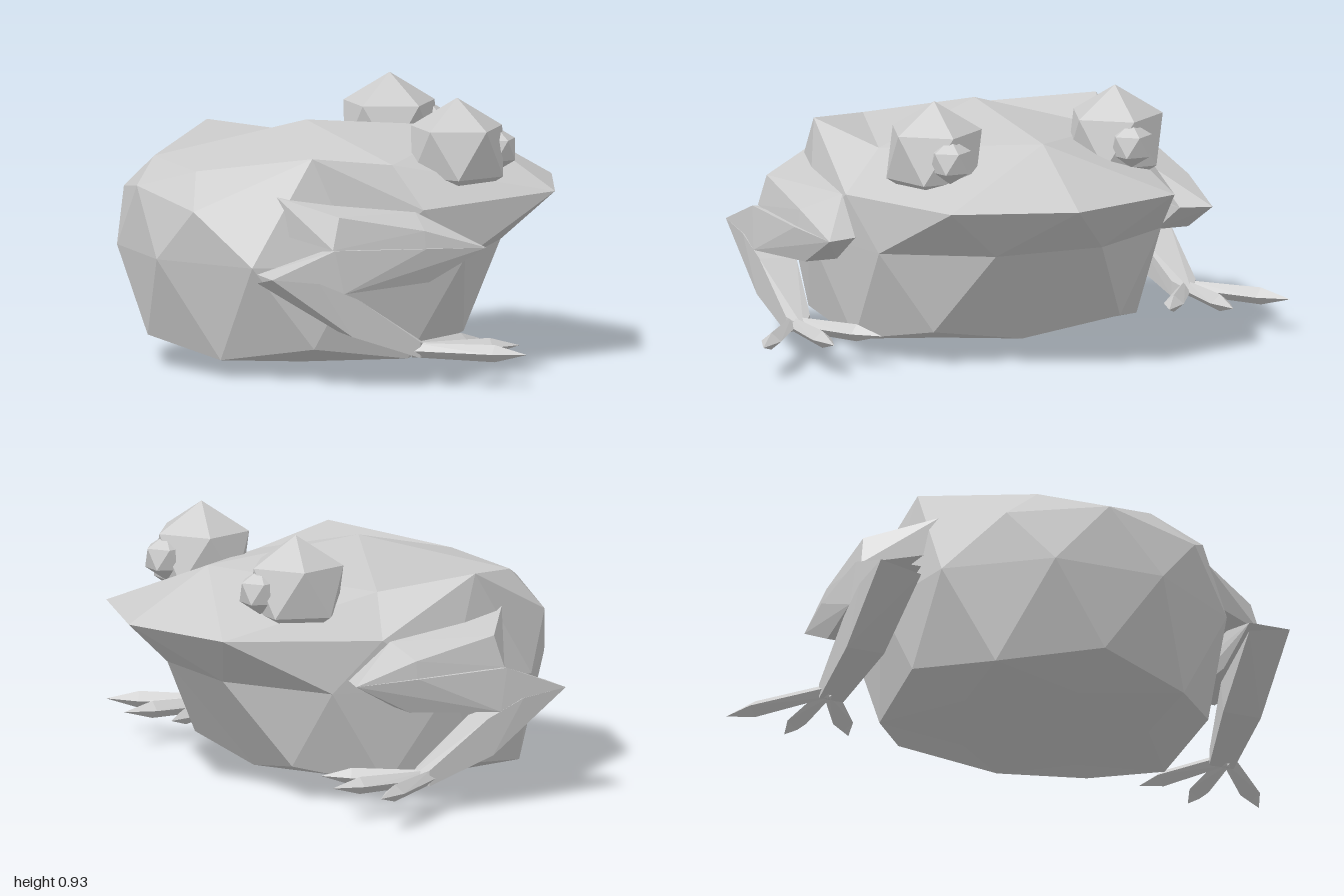
import * as THREE from 'three';
import { ConvexGeometry } from 'three/addons/geometries/ConvexGeometry.js';

const V = (p) => new THREE.Vector3(...p);
const skin = new THREE.MeshStandardMaterial({ color: 0xcccccc, flatShading: true });

function add(parent, name, geometry) {
  const mesh = new THREE.Mesh(geometry, skin);
  mesh.name = name;
  parent.add(mesh);
  return mesh;
}

// Complete a ring of points from its z >= 0 half, running from +x round to -x
function mirrorRing(half) {
  const other = half.filter((p) => p[2] > 0).reverse().map(([x, y, z]) => [x, y, -z]);
  return [...half, ...other].map(V);
}

// Body: a subdivided icosahedron pulled into shape, ring by ring from top to bottom
function bodyGeometry() {
  const top = V([-0.14, 0.83, 0]);
  const bottom = V([-0.14, 0, 0]);
  const back = mirrorRing([[0.45, 0.78, 0], [0.02, 0.72, 0.43], [-0.62, 0.7, 0.21]]);
  const upper = mirrorRing([[0.76, 0.6, 0], [0.62, 0.6, 0.42], [0.08, 0.58, 0.58],
    [-0.31, 0.77, 0.53], [-0.68, 0.58, 0.35], [-0.76, 0.63, 0]]);
  const middle = mirrorRing([[0.5, 0.41, 0.2], [0.25, 0.4, 0.53], [-0.17, 0.4, 0.61],
    [-0.53, 0.4, 0.53], [-0.76, 0.4, 0.2]]);
  const lower = mirrorRing([[0.27, 0.06, 0], [0.31, 0.12, 0.35], [0.04, 0.06, 0.53],
    [-0.31, 0.11, 0.55], [-0.58, 0.06, 0.35], [-0.72, 0.11, 0]]);
  const belly = mirrorRing([[0.06, 0.04, 0.21], [-0.28, 0.04, 0.34], [-0.48, 0.04, 0]]);

  const centre = V([-0.1, 0.42, 0]);
  const points = [];
  const tri = (a, b, c) => {
    const normal = b.clone().sub(a).cross(c.clone().sub(a));
    const outward = a.clone().add(b).add(c).divideScalar(3).sub(centre);
    points.push(...(normal.dot(outward) > 0 ? [a, b, c] : [a, c, b]));
  };
  // Five-sided cap joining a pole, a ring of five and a ring of ten
  const cap = (pole, five, ten, shift) => {
    for (let k = 0; k < 5; k++) {
      const p = five[k], q = five[(k + 1) % 5];
      const [a, b, c] = [0, 1, 2].map((i) => ten[(2 * k + shift + i) % 10]);
      tri(pole, p, q);
      tri(p, a, b);
      tri(p, b, q);
      tri(q, b, c);
    }
  };
  cap(top, back, upper, 0);
  cap(bottom, belly, lower, 1);
  // Zigzag bands between the rings of ten
  for (const ring of [upper, lower]) {
    for (let j = 0; j < 10; j++) {
      tri(ring[j], ring[(j + 1) % 10], middle[j]);
      tri(ring[j], middle[(j + 9) % 10], middle[j]);
    }
  }
  const geometry = new THREE.BufferGeometry().setFromPoints(points);
  geometry.computeVertexNormals();
  return geometry;
}

// Icosahedron standing on a corner, with an upper corner towards +x
function eyeball(radius) {
  const rings = [];
  for (let i = 0; i < 10; i++) {
    const a = (i * Math.PI) / 5;
    const y = i % 2 ? -0.447 : 0.447;
    rings.push(V([0.894 * Math.cos(a), y, 0.894 * Math.sin(a)]).multiplyScalar(radius));
  }
  return new ConvexGeometry([V([0, radius, 0]), V([0, -radius, 0]), ...rings]);
}

// Folded hind leg, each segment a faceted hull
const legParts = {
  thigh: [[-0.43, 0.64, 0.5], [-0.42, 0.51, 0.5], [-0.28, 0.59, 0.72], [-0.31, 0.48, 0.74],
    [-0.25, 0.6, 0.62], [0.05, 0.575, 0.58], [0.03, 0.53, 0.73], [0.03, 0.45, 0.74],
    [0.26, 0.46, 0.72], [0.23, 0.46, 0.61]],
  shin: [[0.26, 0.46, 0.72], [0.23, 0.46, 0.61], [0.03, 0.47, 0.75], [-0.31, 0.48, 0.76],
    [-0.31, 0.46, 0.62], [-0.54, 0.39, 0.76], [-0.54, 0.39, 0.61], [-0.28, 0.33, 0.77],
    [-0.28, 0.33, 0.62], [0.05, 0.35, 0.72], [0.05, 0.35, 0.6]],
  ankle: [[-0.54, 0.39, 0.76], [-0.54, 0.36, 0.61], [-0.37, 0.37, 0.77], [-0.23, 0.31, 0.77],
    [-0.23, 0.3, 0.63], [-0.25, 0.18, 0.77], [-0.25, 0.18, 0.63], [0, 0.15, 0.77],
    [0, 0.15, 0.68], [0, 0.095, 0.77], [0, 0.095, 0.68], [0.06, 0.12, 0.73]],
};
const toeTips = [[0.31, 0.12, 0.99], [0.37, 0.12, 0.75], [0.3, 0.12, 0.54]];

// Pointed toe, widest near its tip
function toePoints(tip) {
  const start = V([-0.02, 0.12, 0.74]);
  const end = V(tip);
  const side = end.clone().sub(start).cross(V([0, 1, 0])).normalize();
  const section = (t, width, height) => {
    const c = start.clone().lerp(end, t);
    return [c.clone().addScaledVector(side, width), c.clone().addScaledVector(side, -width),
      c.clone().add(V([0, height, 0])), c.clone().add(V([0, -height, 0]))];
  };
  return [...section(0, 0.025, 0.025), ...section(0.72, 0.035, 0.03), end].map((p) => p.toArray());
}

export function createModel() {
  const model = new THREE.Group();
  model.name = 'frog';
  add(model, 'body', bodyGeometry());

  for (const s of [1, -1]) {
    const side = s > 0 ? 'front' : 'back';
    const hull = (points) => new ConvexGeometry(points.map(([x, y, z]) => V([x, y, s * z])));

    // Eye with a small pupil bulging forwards
    const eye = new THREE.Group();
    eye.name = side + 'Eye';
    add(eye, 'eyeball', eyeball(0.185)).position.set(0.29, 0.745, s * 0.34);
    add(eye, 'pupil', eyeball(0.08)).position.set(0.43, 0.745, s * 0.34);

    // Leg with three toes
    const leg = new THREE.Group();
    leg.name = side + 'Leg';
    for (const [name, points] of Object.entries(legParts)) add(leg, name, hull(points));
    toeTips.forEach((tip, i) => add(leg, 'toe' + (i + 1), hull(toePoints(tip))));
    model.add(eye, leg);
  }
  return model;
}
